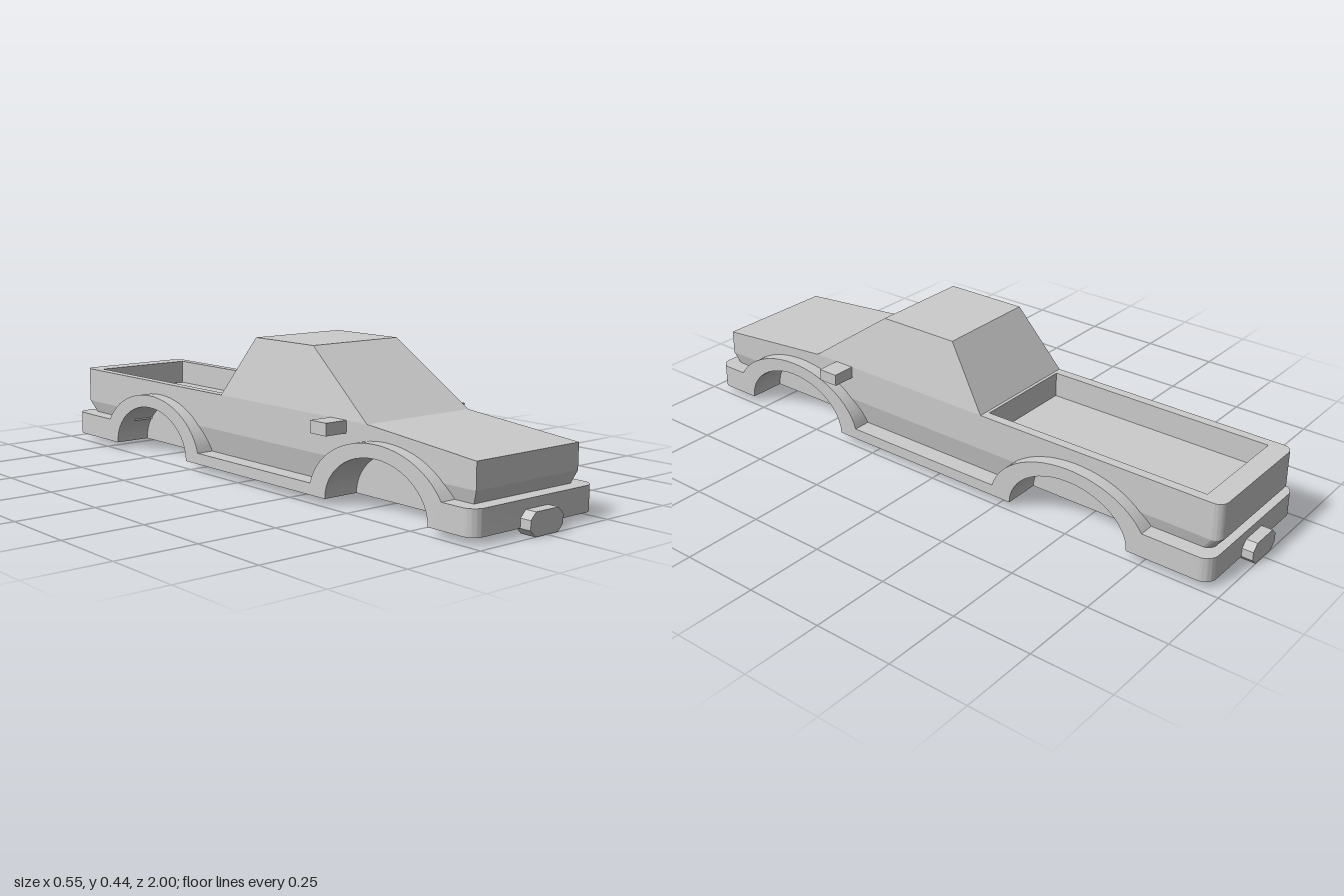
import * as THREE from 'three';
import { toCreasedNormals } from 'three/addons/utils/BufferGeometryUtils.js';

const material = new THREE.MeshStandardMaterial({ color: 0xcccccc });
const ARCH_Z = [0.6, -0.495];   // wheel arch centres
const BASE = 0.02;              // underside height
const FLOOR = 0.168;            // bed floor height

export function createModel() {
  const model = new THREE.Group();

  const add = (name, geometry) => {
    const mesh = new THREE.Mesh(toCreasedNormals(geometry, 0.5), material);
    mesh.name = name;
    model.add(mesh);
    return mesh;
  };

  const box = (name, x0, x1, y0, y1, z0, z1) => {
    const g = new THREE.BoxGeometry(x1 - x0, y1 - y0, z1 - z0);
    g.translate((x0 + x1) / 2, (y0 + y1) / 2, (z0 + z1) / 2);
    return add(name, g);
  };

  // Plan outline with rounded front and back corners
  const plan = (w, zBack, zFront, rBack = 0, rFront = 0) => {
    const s = new THREE.Shape();
    const f = -zFront, b = -zBack;
    s.moveTo(-w + rFront, f);
    s.lineTo(w - rFront, f);
    if (rFront) s.absarc(w - rFront, f + rFront, rFront, -Math.PI / 2, 0);
    s.lineTo(w, b - rBack);
    if (rBack) s.absarc(w - rBack, b - rBack, rBack, 0, Math.PI / 2);
    s.lineTo(-w + rBack, b);
    if (rBack) s.absarc(-w + rBack, b - rBack, rBack, Math.PI / 2, Math.PI);
    s.lineTo(-w, f + rFront);
    if (rFront) s.absarc(-w + rFront, f + rFront, rFront, Math.PI, Math.PI * 1.5);
    return s;
  };

  // Upright slab from a plan outline; its bottom can be drawn in
  const slab = (name, shape, y0, y1, bottomX = 1, bottomZ = 1) => {
    const g = new THREE.ExtrudeGeometry(shape, { depth: y1 - y0, bevelEnabled: false, curveSegments: 8 });
    g.rotateX(-Math.PI / 2).translate(0, y0, 0);
    const p = g.attributes.position;
    for (let i = 0; i < p.count; i++) {
      if (p.getY(i) < y0 + 1e-4) {
        p.setX(i, p.getX(i) * bottomX);
        p.setZ(i, p.getZ(i) * bottomZ);
      }
    }
    g.computeVertexNormals();
    return add(name, g);
  };

  // Side profile of [z, y] points extruded across x, narrowed by a rule of height
  const profile = (name, points, x0, x1, narrow = () => 1) => {
    const s = new THREE.Shape(points.map(([z, y]) => new THREE.Vector2(z, y)));
    const g = new THREE.ExtrudeGeometry(s, { depth: x1 - x0, bevelEnabled: false });
    g.rotateY(-Math.PI / 2).translate(x1, 0, 0);
    const p = g.attributes.position;
    for (let i = 0; i < p.count; i++) p.setX(i, p.getX(i) * narrow(p.getY(i)));
    g.computeVertexNormals();
    return add(name, g);
  };

  // Elliptical arc over a wheel arch, between two angles
  const arc = (cz, a, b, from, to, n = 24) => Array.from({ length: n + 1 }, (_, i) => {
    const t = from + (to - from) * i / n;
    return [cz + a * Math.cos(t), BASE + b * Math.sin(t)];
  });

  // Chassis ends, mid floor and centre spine
  slab('frontBumper', plan(0.24, 0.81, 0.965, 0, 0.04), BASE, 0.095);
  slab('rearBumper', plan(0.24, -0.965, -0.705, 0.04, 0), BASE, 0.095);
  box('centreFloor', -0.12, 0.12, BASE, FLOOR, -0.9, 0.86);

  // Flared arches with sills, and the inner wheel wells
  const high = Math.asin(0.075 / 0.187), low = Math.asin(0.035 / 0.187);
  const wells = [
    ...arc(ARCH_Z[1], 0.205, 0.147, Math.PI, 0),
    ...arc(ARCH_Z[0], 0.205, 0.147, Math.PI, 0),
  ];
  const flare = [
    [0.86, BASE], [0.86, 0.095],
    ...arc(ARCH_Z[0], 0.275, 0.187, high, Math.PI - low),
    ...arc(ARCH_Z[1], 0.275, 0.187, low, Math.PI - high),
    [-0.77, 0.095], [-0.77, BASE], ...wells,
  ];
  const liner = [[0.86, BASE], [0.86, FLOOR], [-0.9, FLOOR], [-0.9, BASE], ...wells];
  for (const [side, sign] of [['left', 1], ['right', -1]]) {
    const span = (a, b) => sign > 0 ? [a, b] : [-b, -a];
    profile(side + 'ArchesAndSill', flare, ...span(0.17, 0.24));
    profile(side + 'WheelWells', liner, ...span(0.12, 0.17));
    box(side + 'Mirror', ...span(0.19, 0.275), 0.21, 0.247, 0.373, 0.44);
  }

  // Lower body: tucked-in band below, straight band above
  slab('noseLower', plan(0.2, 0.79, 0.935), 0.095, 0.133, 0.95, 0.983);
  slab('noseUpper', plan(0.2, 0.74, 0.935), 0.133, FLOOR);
  slab('doorsLower', plan(0.2, -0.285, 0.39), 0.055, 0.133, 0.91, 1);
  slab('doorsUpper', plan(0.2, -0.355, 0.46), 0.133, FLOOR);
  slab('tailLower', plan(0.2, -0.965, -0.685, 0.03), 0.095, 0.133, 0.95, 0.97);
  slab('tailUpper', plan(0.2, -0.965, -0.635, 0.03), 0.133, FLOOR);

  // Bonnet and waist
  profile('bonnet', [
    [0.935, FLOOR], [0.935, 0.21], [0.525, 0.247], [-0.15, 0.247], [-0.15, FLOOR],
  ], -0.2, 0.2);

  // Cabin, leaning inwards to the roof
  profile('cabin', [
    [0.525, 0.247], [0.255, 0.437], [-0.015, 0.437], [-0.15, 0.247],
  ], -0.2, 0.2, y => 1 - 0.175 * (y - 0.247) / 0.19);

  // Open load bed
  const rim = plan(0.2, -0.965, -0.15, 0.03);
  rim.holes.push(plan(0.17, -0.9, -0.16));
  slab('loadBed', rim, FLOOR, 0.247);

  // Chamfered tow blocks at both ends
  const c = 0.02, w = 0.064, h = 0.067;
  const octagon = new THREE.Shape([
    [-w + c, 0], [w - c, 0], [w, c], [w, h - c], [w - c, h], [-w + c, h], [-w, h - c], [-w, c],
  ].map(p => new THREE.Vector2(...p)));
  for (const [name, z] of [['frontTowBlock', 0.95], ['rearTowBlock', -1]]) {
    add(name, new THREE.ExtrudeGeometry(octagon, { depth: 0.05, bevelEnabled: false }).translate(0, 0, z));
  }

  return model;
}
